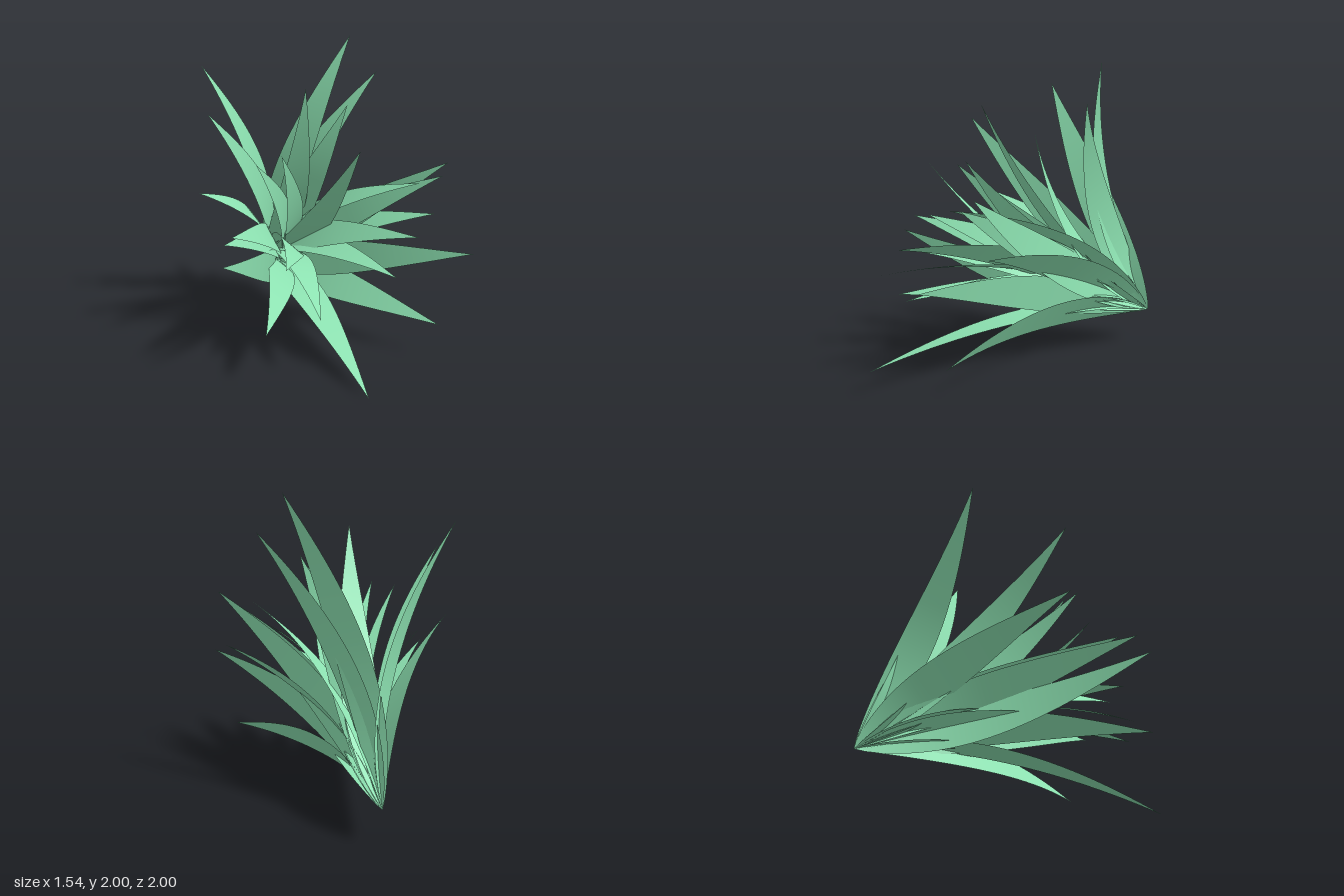
import * as THREE from 'three';

const ROOT = new THREE.Vector3(0, 0.24, -1);

// Leaves from the top of the rosette to the bottom: tip x, y, z,
// elevation in degrees of the axis it arches away from, optional bend
const LEAVES = [
  [0.45, 2.0, -0.41, 60], [-0.6, 1.82, -0.47, 60], [0.59, 1.76, -0.26, 57],
  [-0.1, 1.72, 0.2, 30, 0.31], [-0.7, 1.58, 0.11, 41], [0.28, 1.57, -0.04, 38],
  [0.1, 1.39, 0.6, 22, 0.32], [-0.28, 1.32, 0.26, 31], [-0.45, 1.28, 0.28, 32],
  [0.76, 1.25, 0.48, 26], [0.69, 1.18, 0.54, 30], [0.52, 1.15, 0.56, 45],
  [-0.77, 1.09, 0.1, 50], [0.73, 0.89, 0.39, 38], [0.37, 0.9, 0.85, 28],
  [-0.73, 0.88, 0.54, 30], [-0.66, 0.89, 0.45, 32], [-0.76, 0.77, 0.61, 12],
  [0.77, 0.74, 0.81, 17], [0.19, 0.7, 0.94, 28], [-0.37, 0.7, 0.6, 28],
  [-0.19, 0.4, 0.71, 28, 0.42], [-0.53, 0.35, 0.7, 22], [0.65, 0.22, 0.63, 13],
  [0, 0, 1, 28, 0.39],
];

// A flat pointed blade that leaves the root near its axis and arches outward
function leafGeometry([x, y, z, elevation, bend = 0.36]) {
  const angle = THREE.MathUtils.degToRad(elevation);
  const axis = new THREE.Vector3(0, Math.sin(angle), Math.cos(angle));
  const tip = new THREE.Vector3(x, y, z);
  const chord = tip.clone().sub(ROOT);
  const outward = chord.clone().addScaledVector(axis, -chord.dot(axis)).normalize();
  const across = new THREE.Vector3().crossVectors(outward, axis).normalize();
  const control = ROOT.clone().addScaledVector(chord, 0.5).addScaledVector(outward, -bend);
  const spine = new THREE.QuadraticBezierCurve3(ROOT, control, tip);

  const geometry = new THREE.PlaneGeometry(1, 1, 2, 28);
  const pos = geometry.attributes.position;
  const p = new THREE.Vector3();
  for (let i = 0; i < pos.count; i++) {
    const t = THREE.MathUtils.clamp(pos.getY(i) + 0.5, 0, 1);
    const halfWidth = 0.125 * Math.sin(Math.PI * Math.pow(t, 0.8));
    spine.getPoint(t, p).addScaledVector(across, pos.getX(i) * 2 * halfWidth);
    pos.setXYZ(i, p.x, p.y, p.z);
  }
  geometry.computeVertexNormals();
  return geometry;
}

export function createModel() {
  const plant = new THREE.Group();
  plant.name = 'leafRosette';
  const green = new THREE.MeshStandardMaterial({ color: 0x8ee4b3, side: THREE.DoubleSide });
  LEAVES.forEach((spec, i) => {
    const leaf = new THREE.Mesh(leafGeometry(spec), green);
    leaf.name = `leaf${i + 1}`;
    plant.add(leaf);
  });
  return plant;
}
